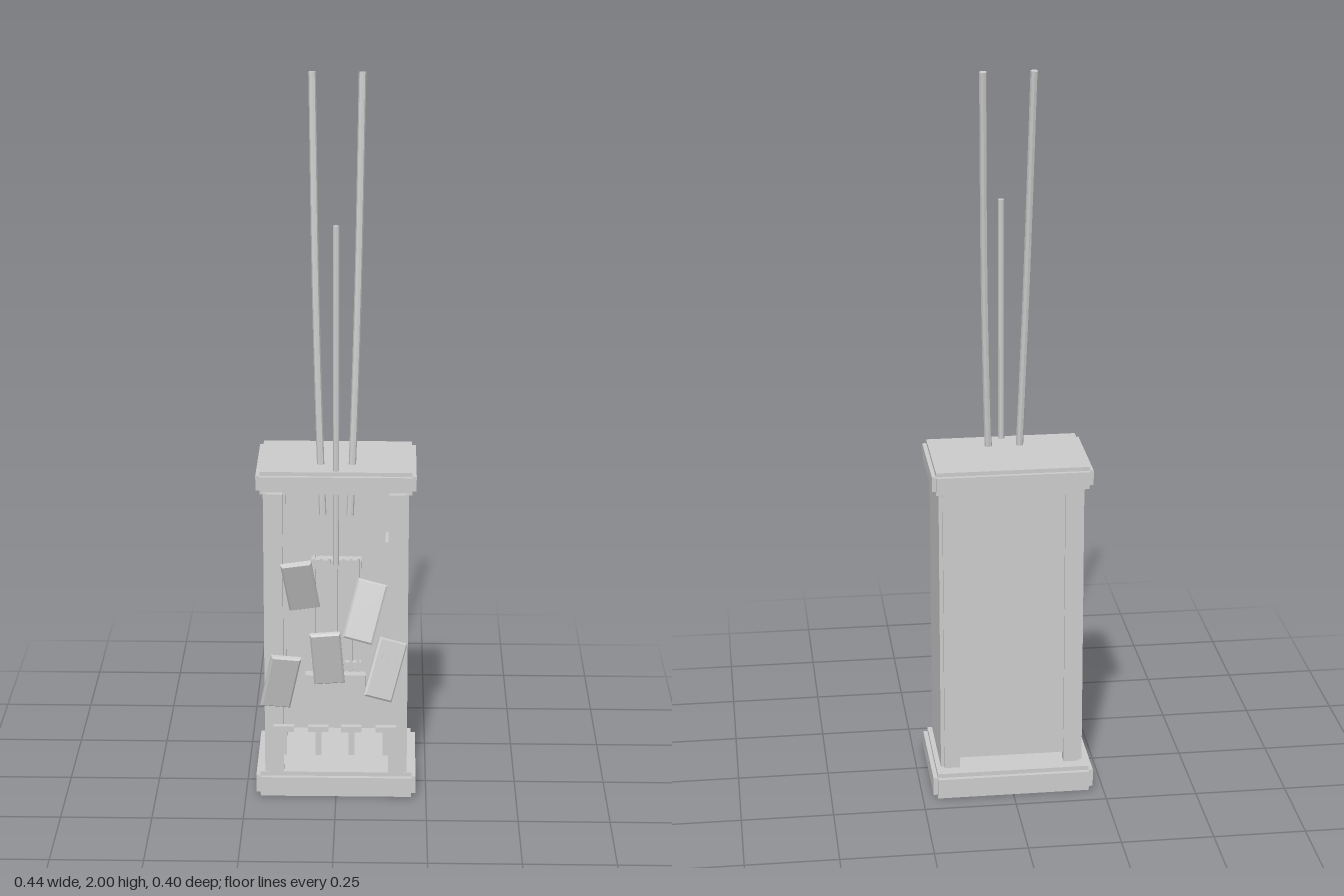
import * as THREE from 'three';

const grey = new THREE.MeshStandardMaterial({ color: 0xcccccc, flatShading: true });

// Box given by its min and max corners
function box(parent, name, x0, x1, y0, y1, z0, z1) {
  const m = new THREE.Mesh(new THREE.BoxGeometry(x1 - x0, y1 - y0, z1 - z0), grey);
  m.position.set((x0 + x1) / 2, (y0 + y1) / 2, (z0 + z1) / 2);
  m.name = name;
  parent.add(m);
  return m;
}

// Slab with stepped edges: three overlapping boxes, each full size on one axis
function steppedSlab(parent, name, hx, y0, y1, z0, z1, s) {
  const g = new THREE.Group();
  g.name = name;
  box(g, name + 'Sides', -hx, hx, y0 + s, y1 - s, z0 + s, z1 - s);
  box(g, name + 'Faces', -hx + s, hx - s, y0, y1, z0 + s, z1 - s);
  box(g, name + 'Ends', -hx + s, hx - s, y0 + s, y1 - s, z0, z1);
  parent.add(g);
}

// Thin card with bevelled edges
function cardGeometry(w, h, d) {
  const b = 0.005, x = w / 2 - b, y = h / 2 - b;
  const s = new THREE.Shape([[-x, -y], [x, -y], [x, y], [-x, y]].map(p => new THREE.Vector2(...p)));
  const g = new THREE.ExtrudeGeometry(s, {
    depth: d - 2 * b, bevelEnabled: true, bevelSize: b, bevelThickness: b, bevelSegments: 1,
  });
  return g.translate(0, 0, -d / 2 + b);
}

export function createModel() {
  const model = new THREE.Group();

  // Cabinet
  steppedSlab(model, 'base', 0.221, 0, 0.074, -0.203, 0.117, 0.012);
  steppedSlab(model, 'cap', 0.216, 0.885, 0.948, -0.187, 0.105, 0.011);
  box(model, 'backPanel', -0.146, 0.146, 0.1, 0.887, -0.148, -0.132);
  for (const s of [-1, 1]) {
    const span = (a, b) => (s > 0 ? [a, b] : [-b, -a]);
    box(model, 'sideWall', ...span(0.163, 0.196), 0.07, 0.89, -0.146, 0.102);
    box(model, 'frontPost', ...span(0.144, 0.186), 0.07, 0.89, 0.085, 0.111);
    box(model, 'backPost', ...span(0.144, 0.186), 0.07, 0.89, -0.156, -0.128);
  }
  box(model, 'wallCleat', 0.134, 0.142, 0.69, 0.73, -0.04, 0.04);

  // Ridged board and the plate below it
  box(model, 'board', -0.068, 0.068, 0.365, 0.685, 0.03, 0.045);
  box(model, 'boardTopRail', -0.068, 0.068, 0.66, 0.685, 0.045, 0.062);
  box(model, 'boardBottomRail', -0.068, 0.068, 0.365, 0.385, 0.045, 0.062);
  for (let i = 0; i < 7; i++) {
    const x = -0.06 + i * 0.02;
    box(model, 'boardRidge', x - 0.004, x + 0.004, 0.36, 0.692, 0.045, 0.07);
  }
  box(model, 'plate', -0.085, 0.08, 0.278, 0.345, 0.03, 0.06);

  // T-shaped pegs
  for (const x of [-0.143, -0.048, 0.043, 0.137]) {
    const peg = new THREE.Group();
    peg.name = 'peg';
    box(peg, 'pegBar', x - 0.028, x + 0.028, 0.204, 0.22, 0.11, 0.126);
    box(peg, 'pegStem', x - 0.008, x + 0.008, 0.132, 0.206, 0.107, 0.119);
    model.add(peg);
  }

  // Bent rear rods
  for (const s of [-1, 1]) {
    const path = new THREE.CatmullRomCurve3([
      [0.037, 0.805, 0.03], [0.043, 0.95, 0.022], [0.056, 1.4, -0.015], [0.066, 1.995, -0.078],
    ].map(([x, y, z]) => new THREE.Vector3(s * x, y, z)));
    const rod = new THREE.Mesh(new THREE.TubeGeometry(path, 10, 0.01, 8), grey);
    rod.name = 'rearRod';
    model.add(rod);
    for (const [t, dir] of [[0, -1], [1, 1]]) {
      const end = new THREE.Mesh(new THREE.CircleGeometry(0.01, 8), grey);
      end.position.copy(path.getPointAt(t));
      end.lookAt(end.position.clone().addScaledVector(path.getTangentAt(t), dir));
      end.name = 'rodEnd';
      model.add(end);
    }
  }

  // Straight centre rod
  const mast = new THREE.Mesh(new THREE.CylinderGeometry(0.0085, 0.0085, 0.94, 8), grey);
  mast.position.set(0, 1.15, 0.08);
  mast.name = 'centreRod';
  model.add(mast);

  // Hanging cards: x, y, z, tilt, yaw, roll, slotted
  const geo = cardGeometry(0.083, 0.166, 0.018);
  for (const [x, y, z, tilt, yaw, roll, slotted] of [
    [-0.095, 0.645, 0.15, 0.38, 0.05, 0.13, false],
    [0.08, 0.575, 0.157, -0.33, 0, -0.25, true],
    [-0.022, 0.445, 0.173, 0.24, 0.03, 0.07, false],
    [-0.15, 0.36, 0.137, 0.24, 0.15, -0.2, false],
    [0.135, 0.4, 0.143, -0.25, 0.35, -0.28, true],
  ]) {
    const card = new THREE.Group();
    card.name = 'card';
    const slab = new THREE.Mesh(geo, grey);
    slab.name = 'cardSlab';
    card.add(slab);
    if (slotted) {
      for (const dx of [-0.02, 0, 0.02]) {
        box(card, 'cardMark', dx - 0.002, dx + 0.002, 0.025, 0.045, 0.008, 0.011);
      }
    }
    card.position.set(x, y, z);
    card.rotation.set(tilt, yaw, roll);
    model.add(card);
  }
  return model;
}
